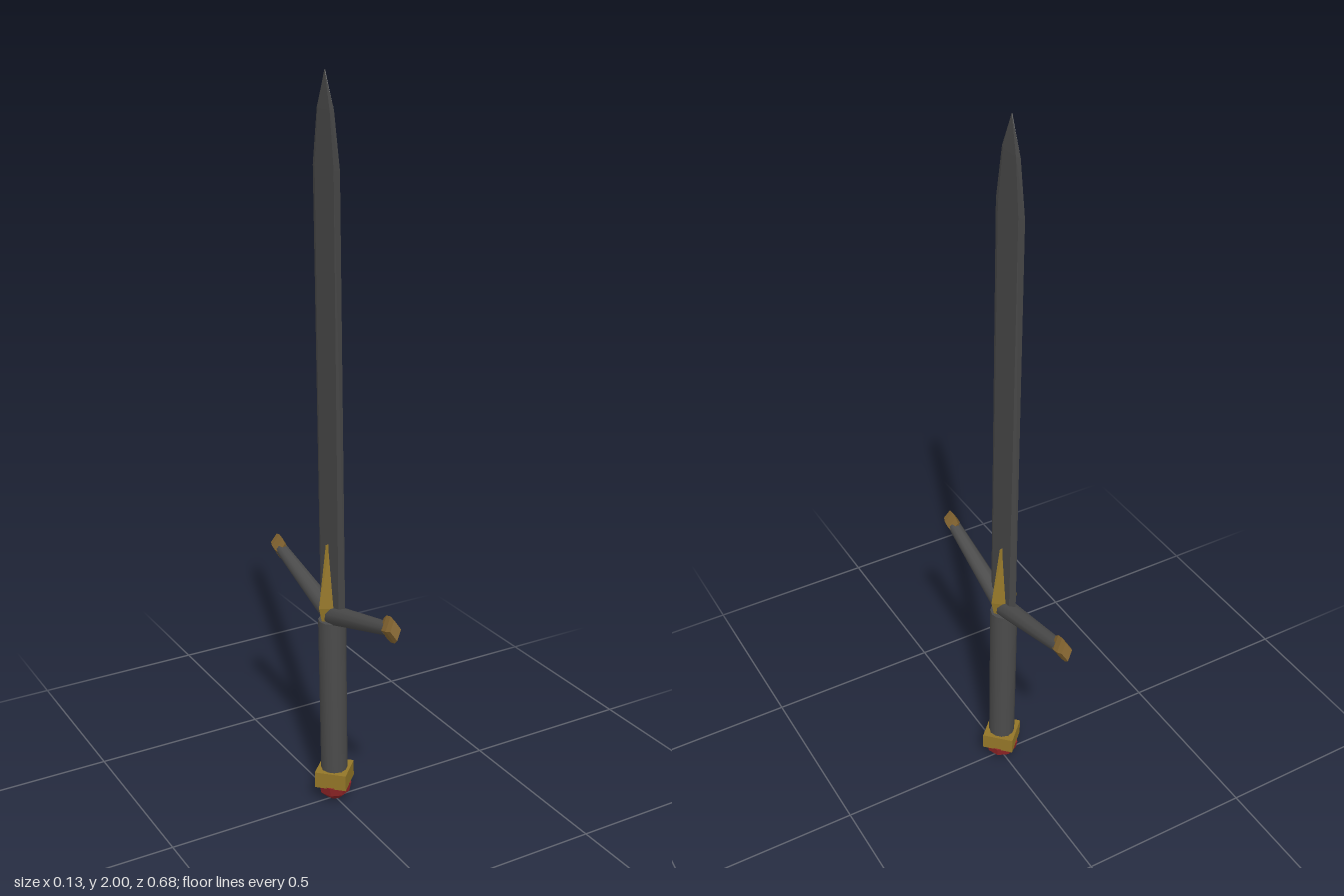
import * as THREE from 'three';

const make = (name, color) => {
  const m = new THREE.MeshStandardMaterial({ color });
  m.name = name;
  return m;
};

// Faceted solid lofted through closed rings of equal size (capped at both ends)
function loft(rings) {
  const pos = [], n = rings[0].length;
  const tri = (a, b, c) => pos.push(...a, ...b, ...c);
  for (let r = 0; r < rings.length - 1; r++) {
    for (let i = 0; i < n; i++) {
      const j = (i + 1) % n, lo = rings[r], hi = rings[r + 1];
      tri(lo[i], hi[i], hi[j]);
      tri(lo[i], hi[j], lo[j]);
    }
  }
  const last = rings[rings.length - 1];
  for (let i = 1; i < n - 1; i++) {
    tri(rings[0][0], rings[0][i], rings[0][i + 1]);
    tri(last[0], last[i + 1], last[i]);
  }
  const g = new THREE.BufferGeometry();
  g.setAttribute('position', new THREE.Float32BufferAttribute(pos, 3));
  g.computeVertexNormals();
  return g;
}

const lathe = (pts, sides) => {
  const g = new THREE.LatheGeometry(pts.map(p => new THREE.Vector2(...p)), sides).toNonIndexed();
  g.computeVertexNormals();
  return g;
};

export function createModel() {
  const steel = make('darkSteel', 0x4b4b4b);
  const gold = make('gold', 0x937628);
  const bronze = make('bronze', 0x836430);
  const red = make('redGem', 0x922527);

  const sword = new THREE.Group();
  sword.name = 'sword';
  const add = (name, geometry, material, parent = sword) => {
    const mesh = new THREE.Mesh(geometry, material);
    mesh.name = name;
    parent.add(mesh);
    return mesh;
  };

  // Blade: flat hexagonal section, [height, half width, half thickness]
  const sections = [
    [0.56, 0.067, 0.009], [1.77, 0.067, 0.006], [1.91, 0.042, 0.005], [2.0, 0.001, 0.001],
  ];
  const blade = add('blade', loft(sections.map(([y, w, t]) => [
    [0, y, w], [-t, y, w * 0.7], [-t, y, -w * 0.7],
    [0, y, -w], [t, y, -w * 0.7], [t, y, w * 0.7],
  ])), steel);
  blade.position.z = 0.004;

  // Handle
  const grip = add('handle', new THREE.CylinderGeometry(0.038, 0.037, 0.5, 12), steel);
  grip.position.y = 0.31;

  // Pommel: square gold collar over a faceted gem
  const collar = add('pommelCollar', lathe(
    [[0, 0.053], [0.063, 0.053], [0.063, 0.1], [0.04, 0.1], [0.03, 0.09]], 4), gold);
  collar.material.side = THREE.DoubleSide;
  add('pommelGem', lathe(
    [[0, 0.002], [0.022, 0.008], [0.043, 0.028], [0.049, 0.056], [0, 0.056]], 8), red);

  // Crossguard: two rising tapered arms with faceted end caps
  const guard = new THREE.Group();
  guard.name = 'crossguard';
  guard.rotation.y = -0.013;
  sword.add(guard);
  for (const s of [1, -1]) {
    const arm = new THREE.Group();
    arm.name = s > 0 ? 'frontArm' : 'backArm';
    arm.position.y = 0.572;
    arm.rotation.x = s * (Math.PI / 2 - 0.28);
    guard.add(arm);
    const bar = add('guardArm', new THREE.CylinderGeometry(0.018, 0.028, 0.31, 10), steel, arm);
    bar.position.y = 0.15;
    const cap = add('guardCap', lathe(
      [[0, -0.026], [0.027, -0.026], [0.035, -0.01], [0.035, 0.01], [0.027, 0.026], [0, 0.026]], 4),
    bronze, arm);
    cap.scale.x = 0.58;
    cap.position.y = 0.318;
  }

  // Gold spikes with a central ridge, one on each face of the blade
  for (const s of [1, -1]) {
    const ring = (y, ridge, w, inner) => [[ridge, y, 0], [inner, y, w], [inner, y, -w]];
    const spike = add(s > 0 ? 'leftSpike' : 'rightSpike', loft([
      ring(0.55, 0.03, 0.014, 0),
      ring(0.6, 0.04, 0.031, 0),
      ring(0.78, 0.016, 0.002, 0.004),
    ].map(r => [r[0], r[2], r[1]])), gold);
    if (s < 0) spike.rotation.y = Math.PI;
  }

  // The whole sword leans very slightly
  sword.rotation.z = 0.015;
  const model = new THREE.Group();
  model.name = 'model';
  model.add(sword);
  return model;
}
